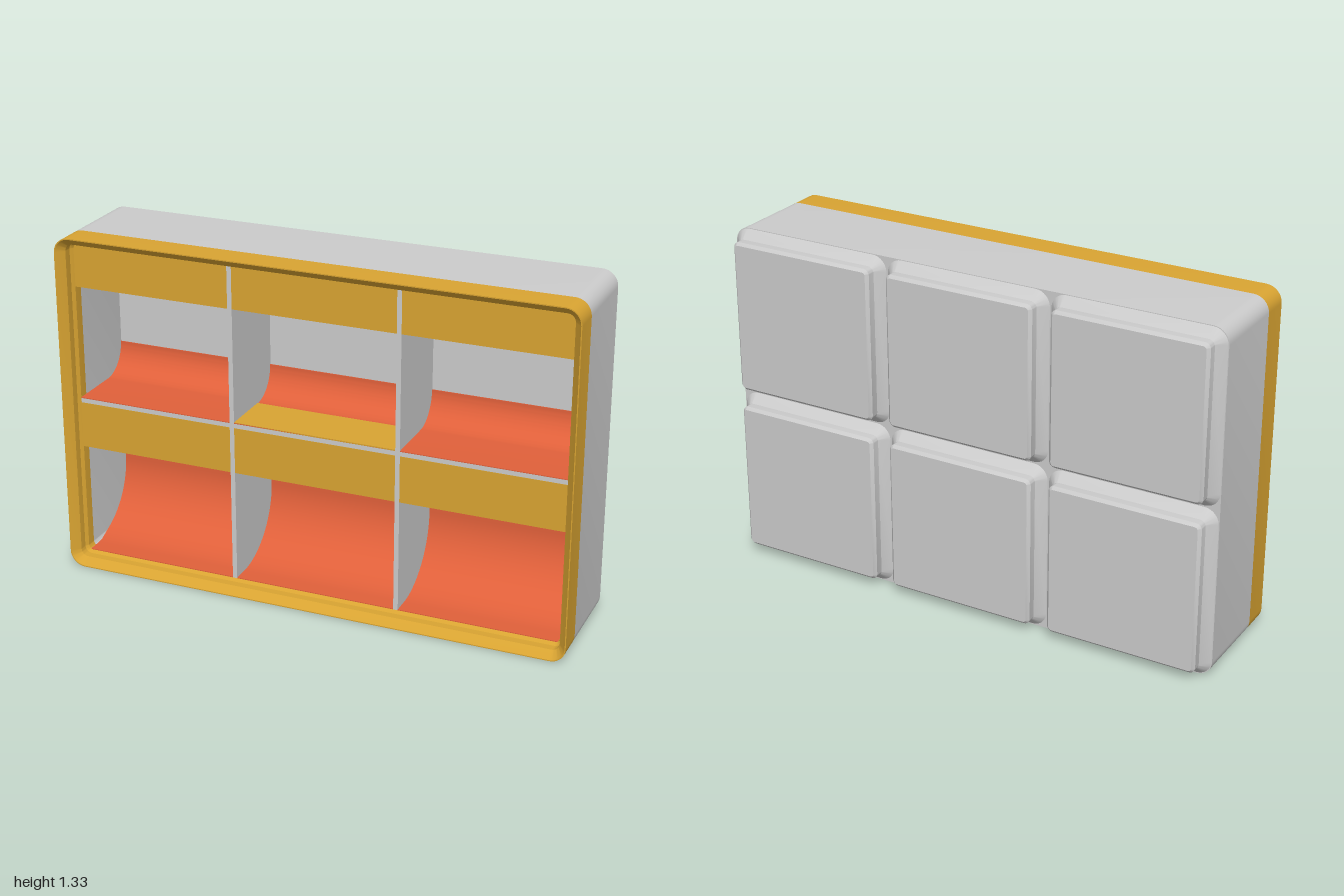
import * as THREE from 'three';
import { toCreasedNormals } from 'three/addons/utils/BufferGeometryUtils.js';

const GREY = 0xcccccc, GOLD = 0xd9a432, ORANGE = 0xe0603a;
const W = 2, H = 1.333, CELL = W / 3;
const FLOOR = -0.14, RIM = 0.185, INNER = 0.041; // cavity floor, divider tops, wall thickness
const DIV = 0.018;                               // divider thickness

function mesh(name, geometry, color = GREY) {
  const m = new THREE.Mesh(geometry, new THREE.MeshStandardMaterial({ color }));
  m.name = name;
  return m;
}

// Rounded rectangle as a counter-clockwise ring of points
function ring(w, h, r, inset, seg = 8) {
  const pts = [];
  const rad = Math.max(r - inset, 0.008);
  const cx = w / 2 - inset - rad, cy = h / 2 - inset - rad;
  [[1, 1], [-1, 1], [-1, -1], [1, -1]].forEach(([sx, sy], q) => {
    for (let i = 0; i <= seg; i++) {
      const a = (q + i / seg) * Math.PI / 2;
      pts.push([sx * cx + rad * Math.cos(a), sy * cy + rad * Math.sin(a)]);
    }
  });
  return pts;
}

// Skin through rounded rectangles; profile is a list of [inset, z]
function loft(w, h, r, profile, capStart = false) {
  const pos = [], idx = [];
  const n = ring(w, h, r, 0).length;
  for (const [inset, z] of profile)
    for (const [x, y] of ring(w, h, r, inset)) pos.push(x, y, z);
  for (let i = 0; i < profile.length - 1; i++)
    for (let j = 0; j < n; j++) {
      const k = (j + 1) % n, a = i * n + j, b = i * n + k;
      idx.push(a, b, b + n, a, b + n, a + n);
    }
  if (capStart) {
    const c = pos.length / 3;
    pos.push(0, 0, profile[0][1]);
    for (let j = 0; j < n; j++) idx.push(c, (j + 1) % n, j);
  }
  const g = new THREE.BufferGeometry();
  g.setAttribute('position', new THREE.Float32BufferAttribute(pos, 3));
  g.setIndex(idx);
  return toCreasedNormals(g, 0.5);
}

// Box given by its limits
function box(x0, x1, y0, y1, z0, z1) {
  return new THREE.BoxGeometry(x1 - x0, y1 - y0, z1 - z0)
    .translate((x0 + x1) / 2, (y0 + y1) / 2, (z0 + z1) / 2);
}

// Side profile (shape x = -z) swept from x0 to x1
function sweepX(shape, x0, x1) {
  const g = new THREE.ExtrudeGeometry(shape, { depth: x1 - x0, bevelEnabled: false, curveSegments: 14 });
  return toCreasedNormals(g.rotateY(Math.PI / 2).translate(x0, 0, 0), 0.5);
}

// Wall lining with a rounded corner running into the floor
function scoopShape(y0, r, yTop) {
  const t = 0.003, f = -FLOOR;
  const s = new THREE.Shape();
  s.moveTo(-RIM, y0);
  s.lineTo(f, y0);
  s.lineTo(f, yTop);
  s.lineTo(f - t, yTop);
  s.lineTo(f - t, y0 + t + r);
  s.absarc(f - t - r, y0 + t + r, r, 0, -Math.PI / 2, true);
  s.lineTo(-RIM, y0 + t);
  return s;
}

// Wedge-shaped label shelf hanging from the wall at y1
function tabShape(y0, y1) {
  const s = new THREE.Shape();
  s.moveTo(-RIM, y1);
  s.lineTo(-RIM, y0);
  s.lineTo(-RIM + 0.015, y0);
  s.lineTo(-RIM + 0.15, y1);
  return s;
}

export function createModel() {
  const model = new THREE.Group();
  const midY = H / 2;

  // Outer shell, stacking rim and cavity walls
  const shell = new THREE.Group();
  shell.name = 'shell';
  shell.position.y = midY;
  shell.add(
    mesh('outerWall', loft(W, H, 0.06, [[0, -0.18], [0, 0.147]], true)),
    mesh('stackingRim', loft(W, H, 0.06, [
      [0, 0.147], [0, 0.257], [0.004, 0.257], [0.031, 0.227],
      [0.031, 0.197], [INNER, RIM], [INNER, 0.147],
    ]), GOLD),
    mesh('innerWall', loft(W, H, 0.06, [[INNER, 0.147], [INNER, FLOOR]])),
  );
  model.add(shell);
  model.add(mesh('floor', box(-0.97, 0.97, 0.03, H - 0.03, -0.175, FLOOR)));

  // Stepped feet on the back, one per cell
  for (let row = 0; row < 2; row++)
    for (let col = -1; col <= 1; col++) {
      const foot = mesh('foot', loft(CELL, CELL, 0.06, [
        [0.047, -0.255], [0.036, -0.244], [0.036, -0.214], [0.003, -0.18],
      ], true));
      foot.position.set(col * CELL, (row + 0.5) * CELL, 0);
      model.add(foot);
    }

  // Dividers
  const xDiv = 0.327, yDiv = 0.67;
  for (const s of [-1, 1])
    model.add(mesh('uprightDivider',
      box(s * xDiv - DIV / 2, s * xDiv + DIV / 2, INNER, H - INNER, FLOOR, RIM)));
  model.add(mesh('crossDivider',
    box(-W / 2 + INNER, W / 2 - INNER, yDiv - DIV / 2, yDiv + DIV / 2, FLOOR, RIM - 0.001)));

  // Scoops and label shelves in every compartment
  const lowTop = yDiv - DIV / 2, highBase = yDiv + DIV / 2;
  const edges = [
    [-W / 2 + INNER, -xDiv - DIV / 2],
    [-xDiv + DIV / 2, xDiv - DIV / 2],
    [xDiv + DIV / 2, W / 2 - INNER],
  ];
  edges.forEach(([x0, x1], i) => {
    model.add(
      mesh('lowerScoop', sweepX(scoopShape(INNER, 0.26, lowTop), x0, x1), ORANGE),
      mesh('upperScoop', sweepX(scoopShape(highBase, 0.115, highBase + 0.119), x0, x1), ORANGE),
      mesh('lowerLabelShelf', sweepX(tabShape(0.48, lowTop), x0, x1), GOLD),
      mesh('upperLabelShelf', sweepX(tabShape(1.125, H - INNER), x0, x1), GOLD),
    );
    if (i === 1)
      model.add(mesh('middleLedge', box(x0, x1, highBase, highBase + 0.005, -0.02, RIM), GOLD));
  });
  return model;
}
